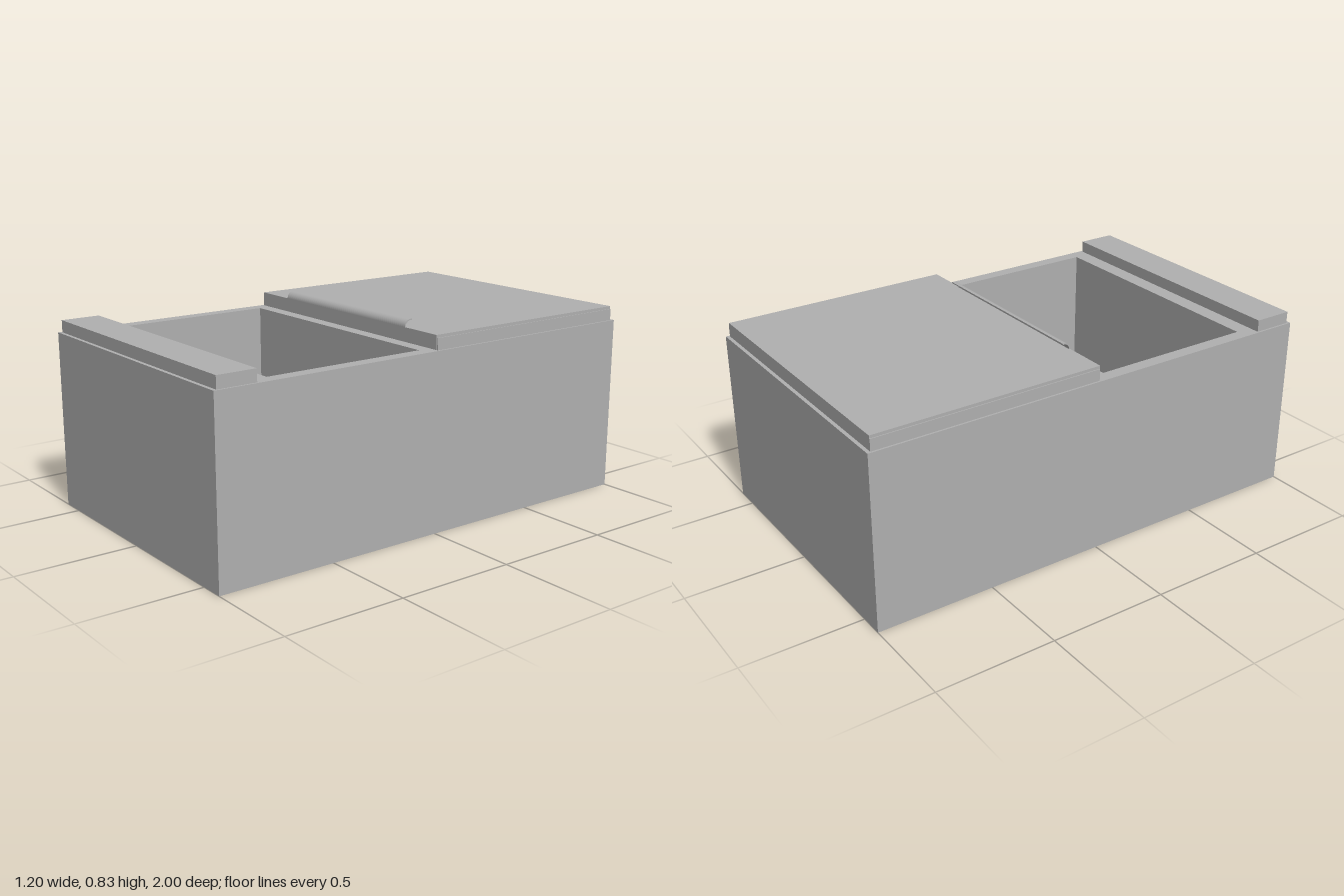
import * as THREE from 'three';

export function createModel() {
  const group = new THREE.Group();
  const grey = new THREE.MeshStandardMaterial({ color: 0xb0b0b0 });
  grey.name = 'grey metal';

  const add = (name, geometry) => {
    const mesh = new THREE.Mesh(geometry, grey);
    mesh.name = name;
    group.add(mesh);
  };
  // Box given by its limits on each axis
  const box = (name, x0, x1, y0, y1, z0, z1) =>
    add(name, new THREE.BoxGeometry(x1 - x0, y1 - y0, z1 - z0)
      .translate((x0 + x1) / 2, (y0 + y1) / 2, (z0 + z1) / 2));
  const rectangle = (Type, x, y0, y1) => new Type([
    [-x, y0], [x, y0], [x, y1], [-x, y1],
  ].map(([a, b]) => new THREE.Vector2(a, b)));

  // Body with the open compartment (shape y becomes -z)
  const plan = rectangle(THREE.Shape, 0.6, -1, 1);
  plan.holes.push(rectangle(THREE.Path, 0.545, -0.75, -0.05));
  add('body', new THREE.ExtrudeGeometry(plan, { depth: 0.74, bevelEnabled: false })
    .rotateX(-Math.PI / 2));
  box('compartmentFloor', -0.545, 0.545, 0, 0.05, 0.05, 0.75);

  // Front ledge and rear lid, both slightly inset from the body
  box('frontLedge', -0.592, 0.592, 0.74, 0.79, 0.82, 0.985);
  box('lidBase', -0.592, 0.592, 0.74, 0.788, -0.985, -0.004);
  box('lidSheet', -0.588, 0.588, 0.788, 0.8, -0.985, -0.004);
  box('lidFrontPlate', -0.588, 0.588, 0.742, 0.8, -0.004, 0);

  // Curled handle lip; profile x is -z, so it curls back over the lid
  const lip = new THREE.Shape();
  lip.moveTo(0, 0.795);
  lip.absarc(0.03, 0.8, 0.03, Math.PI, Math.PI / 2, true);
  lip.lineTo(0.036, 0.83);
  lip.lineTo(0.036, 0.825);
  lip.lineTo(0.03, 0.825);
  lip.absarc(0.03, 0.8, 0.025, Math.PI / 2, Math.PI, false);
  lip.lineTo(0.005, 0.795);
  lip.closePath();
  add('handleLip', new THREE.ExtrudeGeometry(lip, { depth: 0.8, bevelEnabled: false, curveSegments: 12 })
    .translate(0, 0, -0.4).rotateY(Math.PI / 2));

  return group;
}
